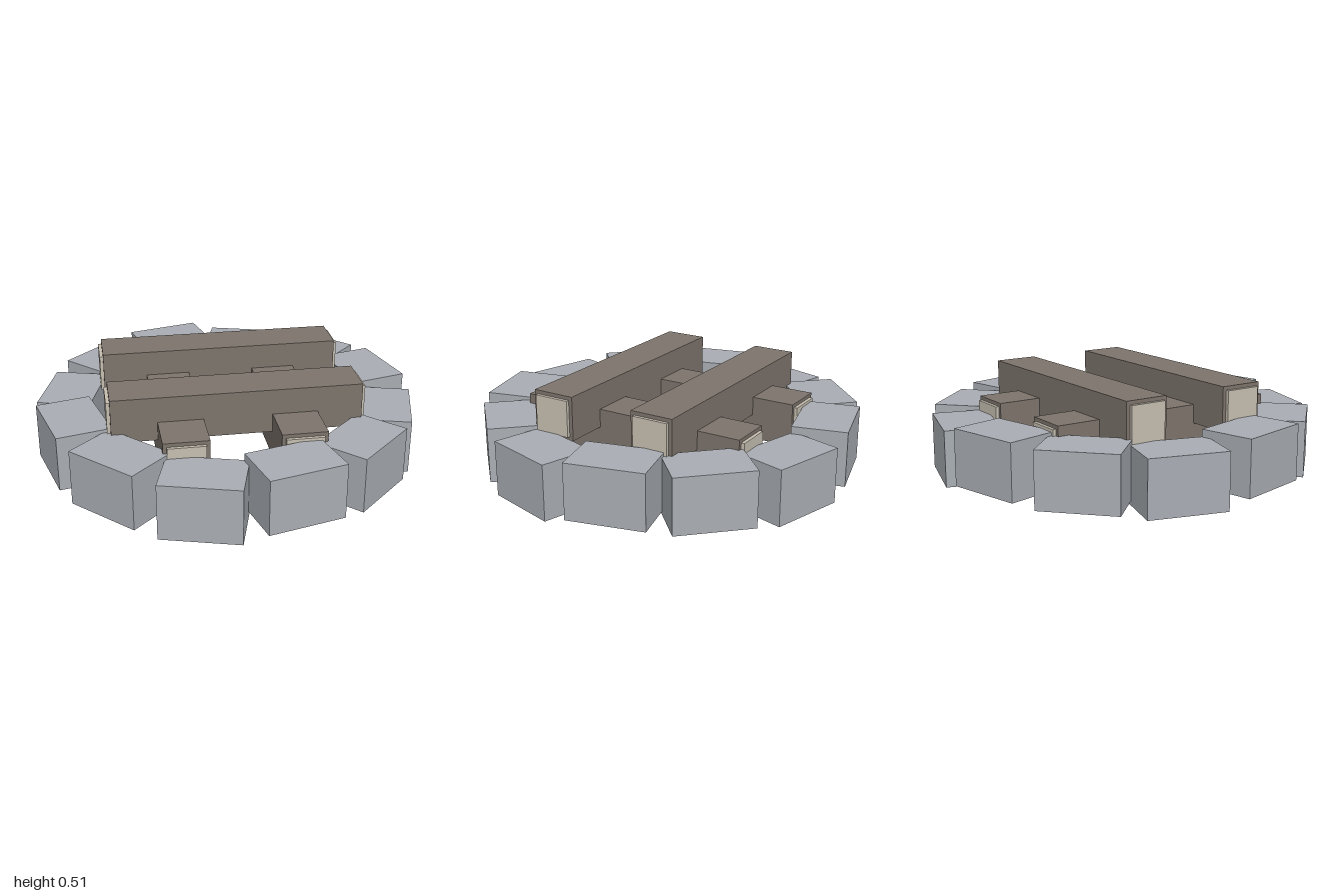
import * as THREE from 'three';

const material = (name, color) => {
  const m = new THREE.MeshStandardMaterial({ color });
  m.name = name;
  return m;
};

export function createModel() {
  const stone = material('grey stone', 0xa9aeb4);
  const bark = material('brown bark', 0x7d746c);
  const cutWood = material('pale cut wood', 0xc6bfb1);

  const model = new THREE.Group();
  model.name = 'campfire';

  const addBox = (parent, name, mat, size, position) => {
    const mesh = new THREE.Mesh(new THREE.BoxGeometry(...size), mat);
    mesh.name = name;
    mesh.position.set(...position);
    parent.add(mesh);
    return mesh;
  };

  // Ring of twelve stones, at three alternating heights
  const ring = new THREE.Group();
  ring.name = 'stoneRing';
  model.add(ring);
  const lift = [0, 0.04, 0.022];
  for (let i = 0; i < 12; i++) {
    const a = (i * Math.PI) / 6;
    const block = addBox(ring, 'stone', stone, [0.41, 0.295, 0.29],
      [Math.sin(a) * 0.855, 0.1475 + lift[i % 3], Math.cos(a) * 0.855]);
    block.rotation.y = a;
  }

  // Two crossed layers of squared logs, each with pale end caps
  const stack = new THREE.Group();
  stack.name = 'logStack';
  stack.rotation.y = THREE.MathUtils.degToRad(16);
  model.add(stack);
  const length = 1.295, width = 0.235, cap = 0.195, capDepth = 0.018;

  const addLog = (name, y, offset, turn) => {
    const log = new THREE.Group();
    log.name = name;
    log.rotation.y = turn;
    log.position.set(turn ? offset : 0, y, turn ? 0 : offset);
    addBox(log, 'bark', bark, [length, width, width], [0, 0, 0]);
    for (const side of [-1, 1]) {
      addBox(log, 'cutEnd', cutWood, [capDepth, cap, cap],
        [side * (length + capDepth) / 2, 0, 0]);
    }
    stack.add(log);
  };

  for (const side of [-1, 1]) {
    addLog('lowerLog', 0.253, side * 0.295, Math.PI / 2);
    addLog('upperLog', 0.388, side * 0.295, 0);
  }

  return model;
}
